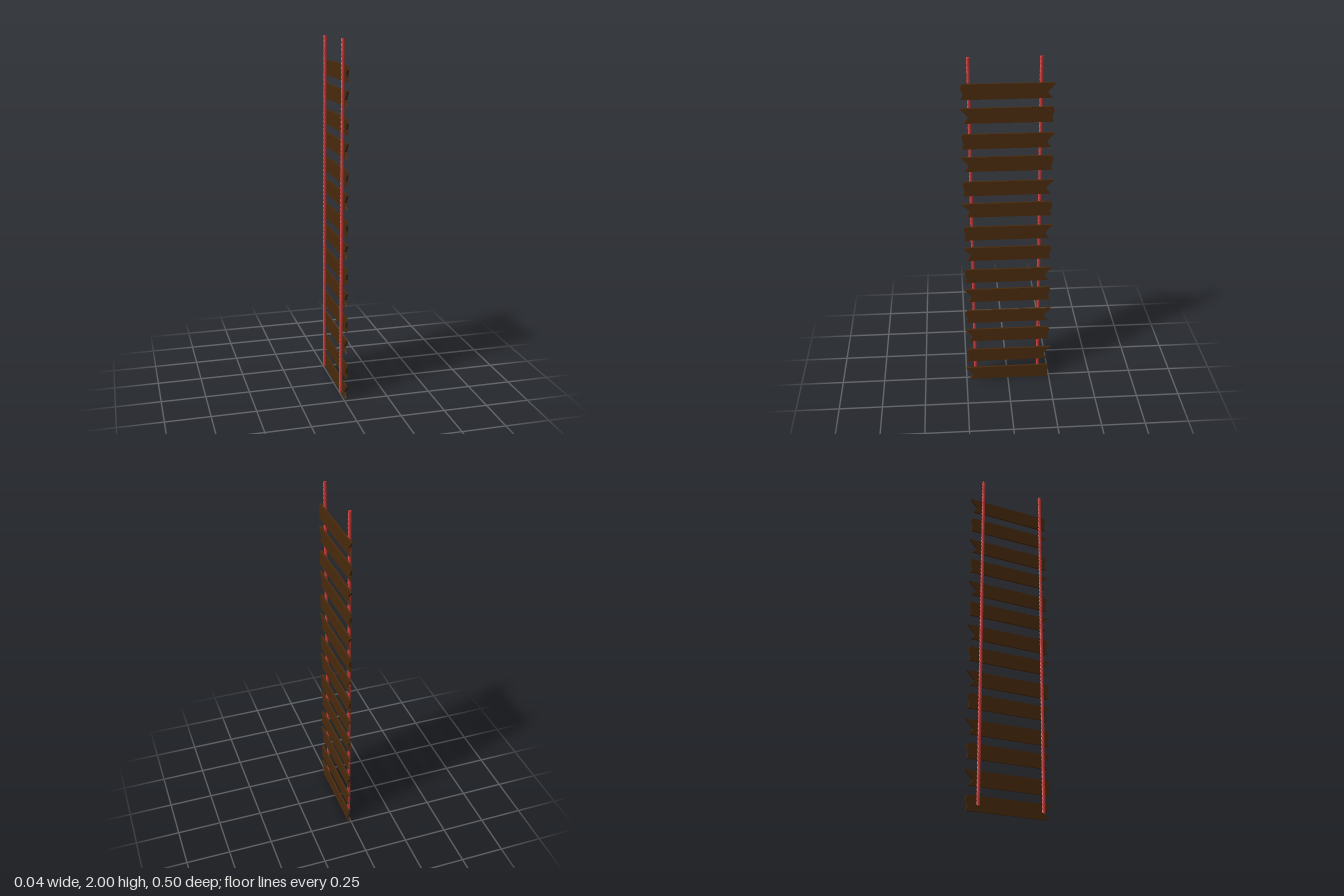
import * as THREE from 'three';

const wood = new THREE.MeshStandardMaterial({ color: 0x492a0c });
wood.name = 'dark brown wood';
const red = new THREE.MeshStandardMaterial({ color: 0xcc3a38 });
red.name = 'red rope';

// Helix wound around a straight line from a to b
class StrandCurve extends THREE.Curve {
  constructor(a, b, radius, turns, phase) {
    super();
    Object.assign(this, { a, b, radius, turns, phase });
  }
  getPoint(t, target = new THREE.Vector3()) {
    const angle = this.phase + t * this.turns * Math.PI * 2;
    target.lerpVectors(this.a, this.b, t);
    target.x += Math.cos(angle) * this.radius;
    target.z += Math.sin(angle) * this.radius;
    return target;
  }
}

// Rope of three twisted strands with closed ends
function makeRope(name, a, b) {
  const rope = new THREE.Group();
  rope.name = name;
  for (let i = 0; i < 3; i++) {
    const curve = new StrandCurve(a, b, 0.005, 28, (i * Math.PI * 2) / 3);
    const strand = new THREE.Mesh(new THREE.TubeGeometry(curve, 448, 0.005, 8), red);
    strand.name = 'ropeStrand';
    rope.add(strand);
    for (const t of [0, 1]) {
      const cap = new THREE.Mesh(new THREE.CircleGeometry(0.005, 8), red);
      cap.name = 'strandEnd';
      cap.position.copy(curve.getPoint(t));
      cap.rotation.x = t ? -Math.PI / 2 : Math.PI / 2;
      rope.add(cap);
    }
  }
  return rope;
}

// Board outline as [z, y]; one end deeply notched, the other roughly broken
const outline = [
  [0.252, 0.083], [0.235, 0.062], [0.21, 0.036], [0.217, 0.02], [0.232, 0.001],
  [-0.243, 0], [-0.235, 0.028], [-0.247, 0.062], [-0.239, 0.084],
];

function makePlankGeometry(flip) {
  const shape = new THREE.Shape(outline.map(([z, y]) => new THREE.Vector2(-z * flip, y)));
  const geometry = new THREE.ExtrudeGeometry(shape, { depth: 0.011, bevelEnabled: false });
  geometry.rotateY(Math.PI / 2);
  geometry.translate(0.007, 0, 0);
  return geometry;
}

export function createModel() {
  const model = new THREE.Group();
  model.name = 'ropeLadder';

  // Boards alternate, each the mirror of the one below
  const geometries = [makePlankGeometry(1), makePlankGeometry(-1)];
  for (let i = 0; i < 14; i++) {
    const plank = new THREE.Mesh(geometries[i % 2], wood);
    plank.name = 'plank';
    plank.position.y = Math.floor(i / 2) * 0.275 + (i % 2) * 0.131;
    model.add(plank);
  }

  // Ropes lean slightly away from the boards toward the bottom
  const point = (x, y, z) => new THREE.Vector3(x, y, z);
  model.add(makeRope('leftRope', point(-0.009, 0.03, 0.195), point(-0.002, 2, 0.203)));
  model.add(makeRope('rightRope', point(-0.009, 0.03, -0.183), point(-0.002, 2, -0.175)));
  return model;
}
